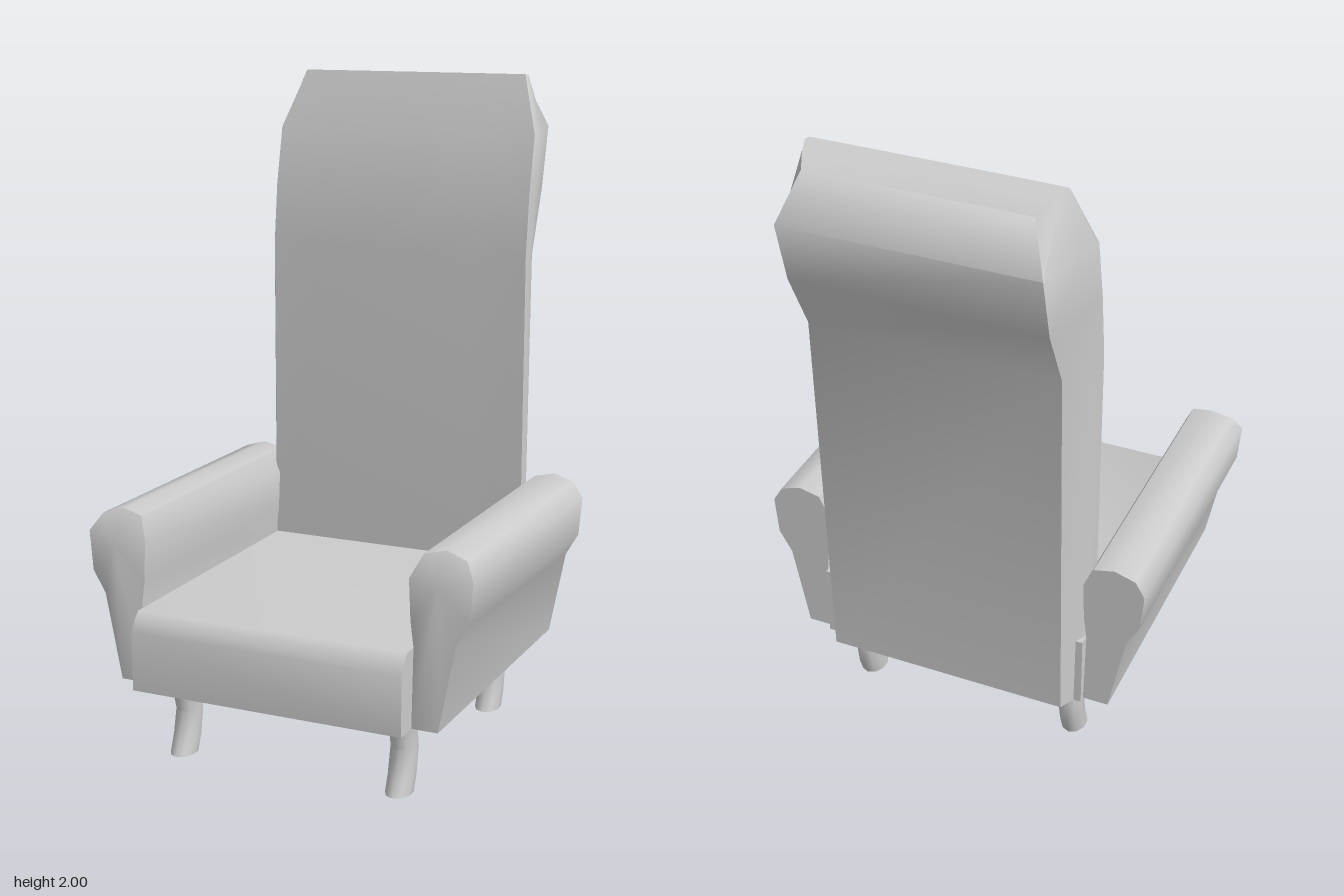
import * as THREE from 'three';
import { toCreasedNormals } from 'three/addons/utils/BufferGeometryUtils.js';

const material = new THREE.MeshStandardMaterial({ color: 0xcccccc });

// Joins rings of points (counter-clockwise seen from the last ring) and caps both ends with fans.
function loft(name, rings, crease = 0.75, endCentre = null) {
  const n = rings[0].length;
  const mean = (ring) => [0, 1, 2].map((k) => ring.reduce((s, p) => s + p[k], 0) / n);
  const first = rings[0], last = rings[rings.length - 1];
  const startMid = mean(first), endMid = endCentre || mean(last);
  const out = [];
  for (let j = 0; j < n; j++) {
    const k = (j + 1) % n;
    for (let i = 0; i < rings.length - 1; i++) {
      const a = rings[i][j], b = rings[i][k], c = rings[i + 1][k], d = rings[i + 1][j];
      out.push(...a, ...b, ...c, ...a, ...c, ...d);
    }
    out.push(...startMid, ...first[k], ...first[j], ...endMid, ...last[j], ...last[k]);
  }
  const geometry = new THREE.BufferGeometry();
  geometry.setAttribute('position', new THREE.Float32BufferAttribute(out, 3));
  const mesh = new THREE.Mesh(toCreasedNormals(geometry, crease), material);
  mesh.name = name;
  return mesh;
}

// Tall backrest: each level is [y front, y rear, z front, z rear, half width].
function makeBackrest() {
  const levels = [
    [0.24, 0.24, -0.305, -0.447, 0.44],
    [1.45, 1.45, -0.305, -0.49, 0.44],
    [1.64, 1.64, -0.325, -0.585, 0.44],
    [1.82, 1.83, -0.365, -0.635, 0.44],
    [2.0, 1.97, -0.435, -0.565, 0.38],
  ];
  // Half outline from front to rear: [width fraction, depth fraction].
  const half = [[0.6, 0], [0.98, 0.01], [1, 0.1], [0.96, 0.45], [0.87, 1]];
  const outline = [...half, ...half.map(([x, t]) => [-x, t]).reverse()];
  const rings = levels.map(([yf, yr, zf, zr, w]) =>
    outline.map(([x, t]) => [x * w, yf + (yr - yf) * t, zf + (zr - zf) * t]));
  return loft('backrest', rings, 0.9);
}

// Seat block with a rounded front edge.
function makeSeat() {
  const profile = [[-0.4, 0.24], [-0.4, 0.475], [0.6, 0.475], [0.62, 0.455], [0.64, 0.42], [0.64, 0.24]];
  return loft('seat', [-0.43, 0.43].map((x) => profile.map(([z, y]) => [x, y, z])), 0.8);
}

// Armrest with a bulging roll on top; the front end slopes back at the top.
function makeArm(side) {
  const section = [
    [0.43, 0.24], [0.51, 0.24], [0.56, 0.5], [0.6, 0.57], [0.61, 0.69], [0.58, 0.74],
    [0.515, 0.76], [0.45, 0.745], [0.42, 0.68], [0.425, 0.56], [0.435, 0.48],
  ];
  const frontZ = (y) => 0.568 - Math.max(0, y - 0.69) * 0.6;
  const ring = (z) => {
    const points = section.map(([x, y]) => [side * x, y, z ?? frontZ(y)]);
    return side > 0 ? points : points.reverse();
  };
  return loft(side > 0 ? 'leftArmrest' : 'rightArmrest', [ring(-0.38), ring()], 0.9, [side * 0.515, 0.67, 0.59]);
}

// Short S-curved leg with an oval section.
function makeLeg(name, x, z) {
  const path = [[0, 0.475], [0.05, 0.455], [0.13, 0.438], [0.19, 0.45], [0.25, 0.455]];
  const rings = path.map(([y, offset], level) => Array.from({ length: 10 }, (_, i) => {
    const a = (i / 10) * Math.PI * 2;
    return [x + 0.04 * Math.sin(a), y, z + offset + (level === 2 ? 0.048 : 0.054) * Math.cos(a)];
  }));
  return loft(name, rings, 0.9);
}

export function createModel() {
  const chair = new THREE.Group();
  chair.name = 'armchair';
  chair.add(makeBackrest(), makeSeat());
  for (const side of [1, -1]) {
    const label = side > 0 ? 'Left' : 'Right';
    chair.add(makeArm(side));
    chair.add(makeLeg('front' + label + 'Leg', side * 0.355, 0));
    chair.add(makeLeg('rear' + label + 'Leg', side * 0.355, -0.72));
  }
  return chair;
}
